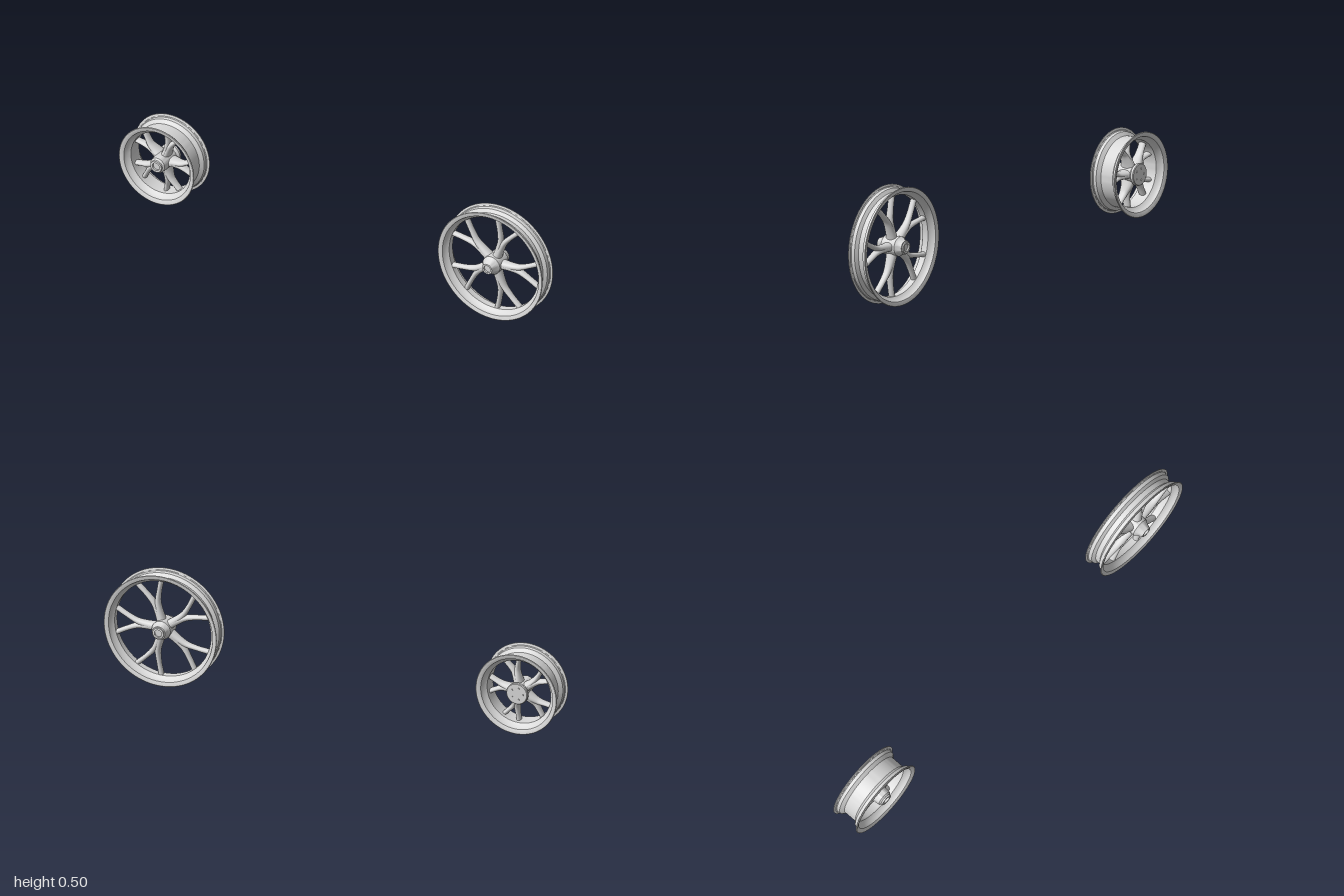
import * as THREE from 'three';
import { toCreasedNormals } from 'three/addons/utils/BufferGeometryUtils.js';

const metal = new THREE.MeshStandardMaterial({ color: 0xd8d8d8 });
metal.name = 'cast grey metal';

// Revolve [radius, z] points around the wheel axle (z)
function revolve(name, profile, segments = 72) {
  const pts = profile.map(([r, z]) => new THREE.Vector2(r, z));
  const geo = new THREE.LatheGeometry(pts, segments).rotateX(Math.PI / 2);
  const mesh = new THREE.Mesh(toCreasedNormals(geo, 0.6), metal);
  mesh.name = name;
  return mesh;
}

// Closed rim section: outer half mirrored, then inner half mirrored
function rimProfile(outer, inner) {
  const mirror = (pts) => pts.map(([r, z]) => [r, -z]).reverse();
  const loop = [...mirror(outer), ...outer, ...inner, ...mirror(inner)];
  return [...loop, loop[0]];
}

// Tapered oval arm in the wheel plane; stations are [x, y, z, width, depth]
function armGeometry(stations, sides = 14, steps = 18) {
  const path = new THREE.CatmullRomCurve3(stations.map((s) => new THREE.Vector3(s[0], s[1], s[2])));
  const pos = [], index = [];
  for (let i = 0; i <= steps; i++) {
    const t = i / steps;
    const f = t * (stations.length - 1);
    const k = Math.min(Math.floor(f), stations.length - 2);
    const mix = (c) => THREE.MathUtils.lerp(stations[k][c], stations[k + 1][c], f - k);
    const p = path.getPoint(t), d = path.getTangent(t);
    const n = new THREE.Vector2(-d.y, d.x).normalize();
    for (let j = 0; j < sides; j++) {
      const a = (j / sides) * Math.PI * 2;
      const u = Math.cos(a) * mix(3) / 2, v = Math.sin(a) * mix(4) / 2;
      pos.push(p.x + n.x * u, p.y + n.y * u, p.z + v);
      if (i < steps) {
        const b = i * sides + j, c = i * sides + ((j + 1) % sides);
        index.push(b, c, b + sides, c, c + sides, b + sides);
      }
    }
  }
  const geo = new THREE.BufferGeometry();
  geo.setAttribute('position', new THREE.Float32BufferAttribute(pos, 3));
  geo.setIndex(index);
  geo.computeVertexNormals();
  return geo;
}

// Five forked spokes, each made of two arms that share a stem
function addSpokes(wheel, stations) {
  const arms = [1, -1].map((s) => armGeometry(stations.map(([x, y, z, w, d]) => [x, s * y, z, w, d])));
  for (let i = 0; i < 5; i++) {
    const spoke = new THREE.Group();
    spoke.name = 'forkedSpoke';
    for (const geo of arms) {
      const arm = new THREE.Mesh(geo, metal);
      arm.name = 'spokeArm';
      spoke.add(arm);
    }
    spoke.rotation.z = (i / 5) * Math.PI * 2;
    wheel.add(spoke);
  }
}

function largeWheel() {
  const wheel = new THREE.Group();
  wheel.name = 'largeWheel';
  wheel.add(revolve('rim', rimProfile(
    [[0.22, 0.011], [0.234, 0.021], [0.236, 0.036], [0.239, 0.039], [0.246, 0.0395], [0.248, 0.041]],
    [[0.248, 0.043], [0.246, 0.0445], [0.24, 0.044], [0.229, 0.04], [0.224, 0.024], [0.212, 0.014]]), 96));
  addSpokes(wheel, [
    [0.018, 0.002, 0, 0.036, 0.054],
    [0.07, 0.003, 0, 0.031, 0.042],
    [0.115, 0.01, 0, 0.024, 0.034],
    [0.16, 0.03, 0, 0.02, 0.029],
    [0.206, 0.055, 0, 0.022, 0.028],
  ]);
  // Hub with a wide barrel, tapered bosses and bored bearing seats
  wheel.add(revolve('hub', [
    [0.016, -0.05], [0.016, -0.068], [0.024, -0.068], [0.025, -0.063], [0.029, -0.062],
    [0.033, -0.044], [0.041, -0.034], [0.041, 0.034], [0.033, 0.044],
    [0.025, 0.063], [0.023, 0.068], [0.016, 0.068], [0.016, 0.05],
  ], 48));
  wheel.add(revolve('axleCore', [[0, -0.06], [0.017, -0.06], [0.017, 0.06], [0, 0.06]], 32));
  return wheel;
}

function smallWheel() {
  const wheel = new THREE.Group();
  wheel.name = 'smallWheel';
  wheel.add(revolve('rim', rimProfile(
    [[0.148, 0.03], [0.163, 0.043], [0.165, 0.056], [0.168, 0.059], [0.176, 0.0595], [0.178, 0.061]],
    [[0.178, 0.064], [0.176, 0.0655], [0.17, 0.065], [0.158, 0.059], [0.154, 0.045], [0.14, 0.033]]), 96));
  addSpokes(wheel, [
    [0.02, 0.002, -0.005, 0.036, 0.075],
    [0.055, 0.003, -0.004, 0.03, 0.056],
    [0.085, 0.008, 0, 0.024, 0.042],
    [0.112, 0.02, 0, 0.019, 0.036],
    [0.138, 0.033, 0, 0.02, 0.034],
  ]);
  // Hub: bored boss in front, broad mounting disc behind
  wheel.add(revolve('hub', [
    [0, -0.058], [0.044, -0.058], [0.047, -0.055], [0.047, -0.045], [0.038, -0.035],
    [0.036, 0.03], [0.034, 0.056], [0.027, 0.062], [0.026, 0.069],
    [0.017, 0.069], [0.017, 0.06], [0, 0.06],
  ], 48));
  const boltGeo = new THREE.CylinderGeometry(0.004, 0.004, 0.01, 12).rotateX(Math.PI / 2);
  for (let i = 0; i < 5; i++) {
    const a = ((i + 0.5) / 5) * Math.PI * 2;
    const bolt = new THREE.Mesh(boltGeo, metal);
    bolt.name = 'mountingBolt';
    bolt.position.set(Math.cos(a) * 0.026, Math.sin(a) * 0.026, -0.056);
    wheel.add(bolt);
  }
  return wheel;
}

export function createModel() {
  const model = new THREE.Group();
  model.name = 'wheelPair';
  const large = largeWheel();
  large.position.set(0.752, 0.248, 0);
  const small = smallWheel();
  small.position.set(-0.822, 0.246, 0);
  model.add(large, small);
  return model;
}
